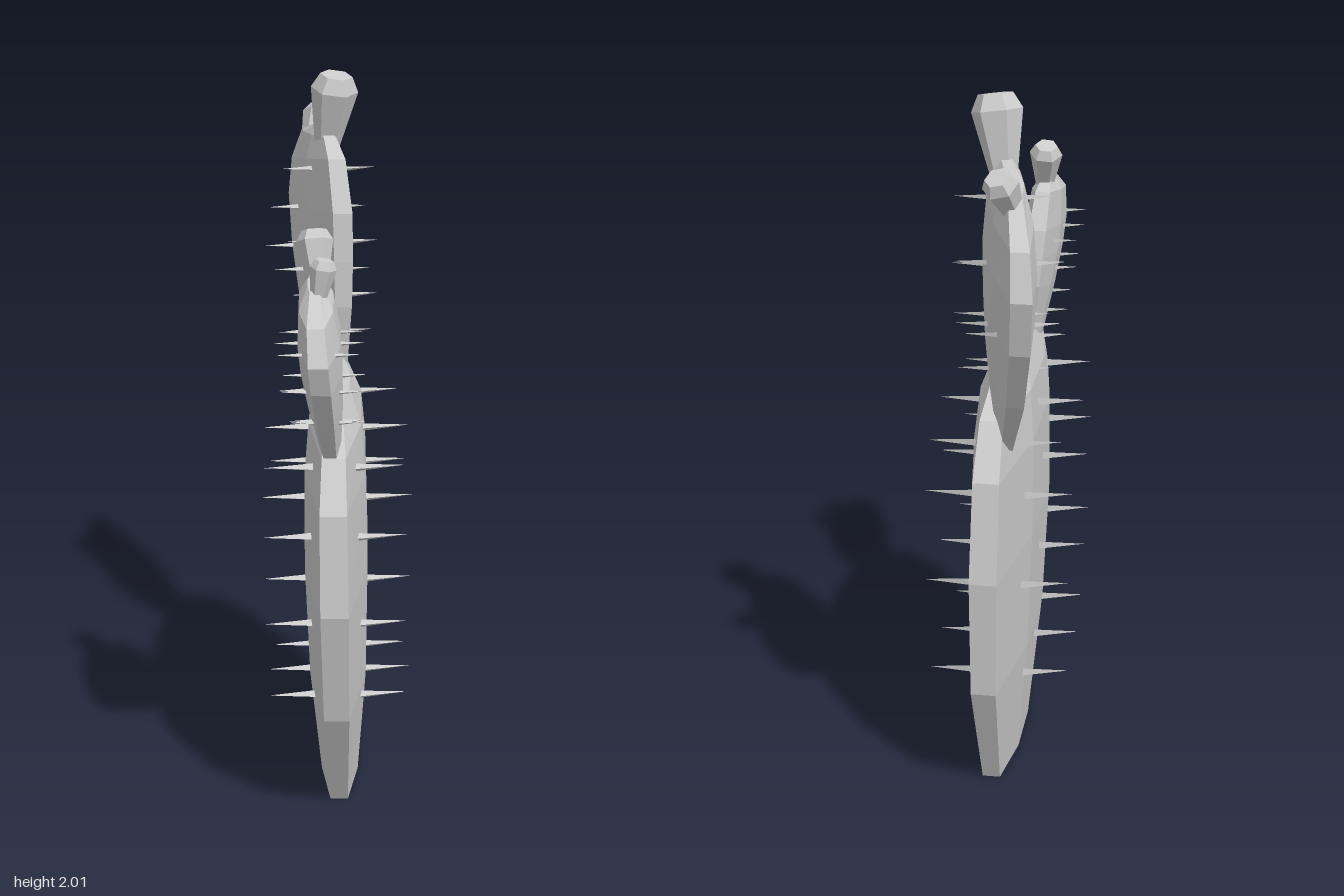
import * as THREE from 'three';

const material = new THREE.MeshStandardMaterial({ color: 0xcccccc, flatShading: true, roughness: 0.9 });
const UP = new THREE.Vector3(0, 1, 0);

function addMesh(parent, geometry, name) {
  const mesh = new THREE.Mesh(geometry, material);
  mesh.name = name;
  parent.add(mesh);
  return mesh;
}

// Flat pad lofted from rings, each running from front [z, y] to back [z, y].
// A ring grows thicker with its width; centreX places the middle plane.
function addPad(parent, name, rings, maxThick, centreX) {
  const stops = [0, 0.32, 0.68, 1];
  const n = stops.length * 2;
  const widths = rings.map(([z0, y0, z1, y1]) => Math.hypot(z1 - z0, y1 - y0));
  const maxWidth = Math.max(...widths);
  const positions = [];
  const index = [];
  rings.forEach(([z0, y0, z1, y1], r) => {
    const thick = maxThick * Math.pow(widths[r] / maxWidth, 0.8);
    const rim = thick * 0.36 + 0.006;
    for (let j = 0; j < n; j++) {
      const k = Math.min(j, n - 1 - j);
      const y = THREE.MathUtils.lerp(y0, y1, stops[k]);
      const z = THREE.MathUtils.lerp(z0, z1, stops[k]);
      const half = k === 0 || k === 3 ? rim : thick;
      positions.push(centreX(y, z) + (j < 4 ? half : -half), y, z);
    }
  });
  const last = (rings.length - 1) * n;
  for (let i = 0; i < last; i += n) {
    for (let j = 0; j < n; j++) {
      const k = (j + 1) % n;
      index.push(i + j, i + k, i + n + k, i + j, i + n + k, i + n + j);
    }
  }
  // End caps, as strips across the thickness
  for (let a = 0; a < 3; a++) {
    const b = a + 1, c = n - 2 - a, d = n - 1 - a;
    index.push(a, c, b, a, d, c);
    index.push(last + a, last + b, last + c, last + a, last + c, last + d);
  }
  const geometry = new THREE.BufferGeometry();
  geometry.setAttribute('position', new THREE.Float32BufferAttribute(positions, 3));
  geometry.setIndex(index);
  geometry.computeVertexNormals();
  return addMesh(parent, geometry, name);
}

// Rows of spines on both faces of a pad: [count, first z, first y, step z, step y]
function addSpines(parent, pad, rows, length, lean) {
  const ray = new THREE.Raycaster();
  const cone = new THREE.ConeGeometry(length * 0.093, length, 3).translate(0, length / 2 - 0.008, 0);
  for (const [count, z, y, stepZ, stepY] of rows) {
    for (let i = 0; i < count; i++) {
      for (const side of [1, -1]) {
        ray.set(new THREE.Vector3(side * 2, y + i * stepY, z + i * stepZ), new THREE.Vector3(-side, 0, 0));
        const [hit] = ray.intersectObject(pad);
        const spine = addMesh(parent, cone, 'spine');
        spine.position.copy(hit.point);
        spine.quaternion.setFromUnitVectors(UP, new THREE.Vector3(side, 0.03, -side * lean).normalize());
      }
    }
  }
}

// Six-sided bud that widens upward and closes with a bevelled tip
function addFruit(parent, base, tip, radius) {
  const from = new THREE.Vector3(...base);
  const axis = new THREE.Vector3(...tip).sub(from);
  const h = axis.length();
  const profile = [
    new THREE.Vector2(0, -0.02),
    new THREE.Vector2(radius * 0.52, -0.02),
    new THREE.Vector2(radius, h * 0.78),
    new THREE.Vector2(radius * 0.68, h),
    new THREE.Vector2(0, h),
  ];
  const fruit = addMesh(parent, new THREE.LatheGeometry(profile, 6, Math.PI / 6), 'fruit');
  fruit.position.copy(from);
  fruit.quaternion.setFromUnitVectors(UP, axis.normalize());
}

function mainPad() {
  const group = new THREE.Group();
  group.name = 'mainPadGroup';
  const rings = [
    [0.28, 0, -0.3, 0],
    [0.49, 0.36, -0.47, 0.36],
    [0.58, 0.71, -0.5, 0.71],
    [0.555, 0.99, -0.46, 0.99],
    [0.47, 1.12, -0.36, 1.13],
    [0.26, 1.21, -0.14, 1.21],
  ];
  const pad = addPad(group, 'mainPad', rings, 0.088, (y) => 0.015 - 0.013 * Math.min(y, 1));
  const rows = [
    [3, 0.25, 0.32, -0.21, -0.02],
    [3, 0.33, 0.58, -0.29, 0.01],
    [3, 0.38, 0.86, -0.3, 0],
    [3, 0.35, 1.05, -0.33, 0],
  ];
  addSpines(group, pad, rows, 0.14, 0.12);
  return group;
}

// Taller pad at the back, turned a little about the vertical
function largeUpperPad() {
  const group = new THREE.Group();
  group.name = 'largeUpperPadGroup';
  const rings = [
    [-0.14, 1.1, -0.34, 1.04],
    [-0.1, 1.37, -0.54, 1.24],
    [-0.1, 1.5, -0.65, 1.42],
    [-0.11, 1.64, -0.69, 1.57],
    [-0.18, 1.78, -0.655, 1.69],
    [-0.26, 1.825, -0.54, 1.8],
    [-0.32, 1.845, -0.42, 1.835],
  ];
  const pad = addPad(group, 'largeUpperPad', rings, 0.06, (y, z) => 0.02 + 0.25 * (z + 0.11));
  const rows = [
    [1, -0.27, 1.25, 0, 0],
    [3, -0.2, 1.38, -0.17, 0.03],
    [2, -0.23, 1.53, -0.18, 0.06],
    [1, -0.29, 1.73, 0, 0],
  ];
  addSpines(group, pad, rows, 0.095, 0.2);
  addFruit(group, [-0.025, 1.81, -0.315], [0, 2, -0.285], 0.068);
  addFruit(group, [-0.08, 1.755, -0.52], [-0.05, 1.858, -0.59], 0.048);
  return group;
}

// Shorter pad at the front, leaning slightly to the right
function smallUpperPad() {
  const group = new THREE.Group();
  group.name = 'smallUpperPadGroup';
  const rings = [
    [0.44, 1.09, 0.27, 1.14],
    [0.58, 1.24, 0.24, 1.32],
    [0.67, 1.36, 0.25, 1.4],
    [0.7, 1.44, 0.27, 1.48],
    [0.66, 1.53, 0.33, 1.58],
    [0.53, 1.59, 0.42, 1.608],
  ];
  const pad = addPad(group, 'smallUpperPad', rings, 0.054, (y) => -0.01 - 0.08 * (y - 1.15));
  const rows = [
    [2, 0.4, 1.2, 0.1, 0.03],
    [2, 0.41, 1.33, 0.14, 0],
    [3, 0.35, 1.43, 0.135, 0.01],
  ];
  addSpines(group, pad, rows, 0.075, 0.1);
  addFruit(group, [-0.04, 1.595, 0.41], [-0.05, 1.71, 0.365], 0.048);
  addFruit(group, [-0.035, 1.575, 0.52], [-0.02, 1.67, 0.52], 0.035);
  return group;
}

export function createModel() {
  const cactus = new THREE.Group();
  cactus.name = 'cactus';
  cactus.add(mainPad(), largeUpperPad(), smallUpperPad());
  return cactus;
}
